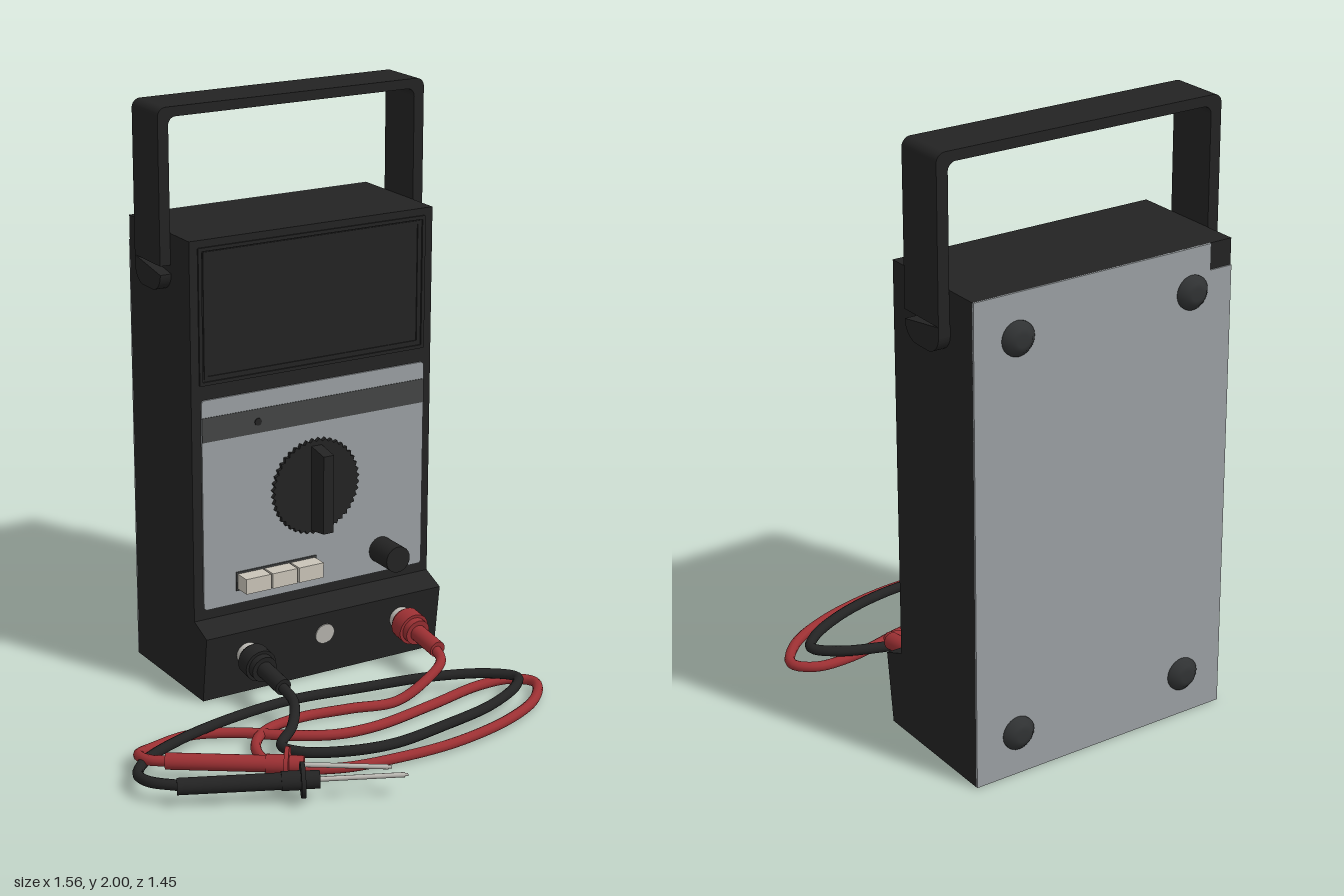
import * as THREE from 'three';

const mat = (name, color, side = THREE.FrontSide) => {
  const m = new THREE.MeshStandardMaterial({ color, side });
  m.name = name;
  return m;
};
const V = (x, y, z) => new THREE.Vector3(x, y, z);

export function createModel() {
  const root = new THREE.Group();
  root.name = 'multimeter';
  const black = mat('black plastic', 0x232323);
  const dark = mat('dark rubber', 0x303233);
  const grey = mat('grey panel', 0x9a9fa2);
  const stripeGrey = mat('stripe grey', 0x434545);
  const ivory = mat('ivory button', 0xc9c4b8);
  const red = mat('red rubber', 0x9c3033);
  const metal = mat('pale metal', 0xbcbab4);

  const add = (name, geo, m, parent = root) => {
    const mesh = new THREE.Mesh(geo, m);
    mesh.name = name;
    parent.add(mesh);
    return mesh;
  };
  const box = (name, x0, x1, y0, y1, z0, z1, m) => {
    const mesh = add(name, new THREE.BoxGeometry(x1 - x0, y1 - y0, z1 - z0), m);
    mesh.position.set((x0 + x1) / 2, (y0 + y1) / 2, (z0 + z1) / 2);
    return mesh;
  };
  const poly = (pts) => new THREE.Shape(pts.map(([x, y]) => new THREE.Vector2(x, y)));
  const extrude = (shape, depth) =>
    new THREE.ExtrudeGeometry(shape, { depth, bevelEnabled: false, curveSegments: 8 });
  const roundRect = (x0, x1, y0, y1, r) => {
    const s = new THREE.Shape();
    s.moveTo(x0 + r, y0);
    s.absarc(x1 - r, y0 + r, r, -Math.PI / 2, 0);
    s.absarc(x1 - r, y1 - r, r, 0, Math.PI / 2);
    s.absarc(x0 + r, y1 - r, r, Math.PI / 2, Math.PI);
    s.absarc(x0 + r, y0 + r, r, Math.PI, Math.PI * 1.5);
    return s;
  };
  // Turned part: profile [radius, distance] laid from a point along a direction
  const turned = (name, profile, from, dir, m, seg = 24) => {
    const geo = new THREE.LatheGeometry(profile.map(([r, d]) => new THREE.Vector2(r, d)), seg);
    const mesh = add(name, geo, m);
    mesh.position.copy(from);
    mesh.quaternion.setFromUnitVectors(V(0, 1, 0), dir.clone().normalize());
    return mesh;
  };
  // Stepped cylinder, flat shaded across each step by doubling its rim points
  const stepped = (...steps) => {
    const out = [[0, steps[0][1]]];
    for (const [r, a, b] of steps) out.push([r, a], [r, a], [r, b], [r, b]);
    out.push([0, steps[steps.length - 1][2]]);
    return out;
  };

  // Case with the projecting socket foot, extruded sideways
  const cx = 0.195, L = -0.27, R = 0.66, F = -0.275;
  const profile = poly([[0.694, 0], [0.695, 1.585], [0.275, 1.585], [0.275, 0.27], [0.19, 0.235], [0.22, 0]].reverse());
  add('case', extrude(profile, R - L).rotateY(Math.PI / 2).translate(L, 0, 0), black);

  // Back plate with one corner cut away, and four feet
  add('backPlate', extrude(poly([[L, 0], [R, 0], [R, 1.585], [L + 0.08, 1.585], [L + 0.08, 1.5], [L, 1.5]]), 0.008)
    .translate(0, 0, -0.7), grey);
  for (const x of [-0.12, 0.51]) for (const y of [0.145, 1.445])
    turned('backFoot', [[0.055, 0], [0.055, 0.008], [0.035, 0.027], [0.02, 0.03], [0, 0.03]],
      V(x, y, -0.7), V(0, 0, -1), dark);

  // Carrying handle: bent strap and rounded leg ends
  const strap = new THREE.Shape();
  strap.moveTo(-0.31, 1.48);
  strap.lineTo(-0.272, 1.48);
  strap.lineTo(-0.272, 1.94);
  strap.absarc(-0.245, 1.94, 0.027, Math.PI, Math.PI / 2, true);
  strap.absarc(0.635, 1.94, 0.027, Math.PI / 2, 0, true);
  strap.lineTo(0.662, 1.48);
  strap.lineTo(0.7, 1.48);
  strap.absarc(0.67, 1.97, 0.03, 0, Math.PI / 2);
  strap.absarc(-0.28, 1.97, 0.03, Math.PI / 2, Math.PI);
  add('handleStrap', extrude(strap, 0.18).translate(0, 0, -0.58), black);
  const end = new THREE.Shape();
  end.moveTo(0.4, 1.48);
  end.absarc(0.46, 1.45, 0.06, Math.PI, Math.PI * 1.5);
  end.absarc(0.52, 1.45, 0.06, Math.PI * 1.5, Math.PI * 2);
  end.lineTo(0.58, 1.48);
  for (const x of [-0.31, 0.655])
    add('handleEnd', extrude(end, 0.045).rotateY(Math.PI / 2).translate(x, 0, 0), black);

  // Display window with raised double frame
  const frame = (name, x0, x1, y0, y1, w, d) => {
    const s = roundRect(x0, x1, y0, y1, 0.004);
    s.holes.push(roundRect(x0 + w, x1 - w, y0 + w, y1 - w, 0.002));
    add(name, extrude(s, d).translate(0, 0, F), black);
  };
  frame('displayOuterFrame', -0.24, 0.63, 1.095, 1.56, 0.012, 0.006);
  frame('displayInnerFrame', -0.222, 0.612, 1.113, 1.545, 0.012, 0.004);

  // Control panel and stripe
  add('controlPanel', extrude(roundRect(-0.235, 0.63, 0.305, 1.045, 0.012), 0.006).translate(0, 0, F), grey);
  box('panelStripe', -0.235, 0.63, 0.9, 0.985, F, F + 0.008, stripeGrey);
  turned('indicator', stepped([0.013, 0, 0.004]), V(-0.025, 0.94, F + 0.008), V(0, 0, 1), black, 12);

  // Selector dial with a knurled rim and tapered grip
  const teeth = 44;
  const rim = poly(Array.from({ length: teeth * 2 }, (_, i) => {
    const a = (i * Math.PI) / teeth, r = i % 2 ? 0.171 : 0.16;
    return [Math.cos(a) * r, Math.sin(a) * r];
  }));
  add('selectorDial', extrude(rim, 0.02).translate(cx, 0.675, F), black);
  const grip = poly([[-0.155, 0], [0.155, 0], [0.137, 0.1], [-0.14, 0.1]]);
  add('selectorGrip', extrude(grip, 0.04).rotateX(Math.PI / 2).rotateZ(Math.PI / 2)
    .translate(cx - 0.02, 0.672, F), black).geometry.computeBoundingBox();
  // Centre the grip exactly on the dial
  const gripMesh = root.getObjectByName('selectorGrip');
  const gc = gripMesh.geometry.boundingBox.getCenter(V(0, 0, 0));
  gripMesh.position.set(cx - gc.x, 0.67 - gc.y, F + 0.05 - gc.z);

  // Push buttons and round knob
  box('buttonSurround', -0.113, 0.2, 0.353, 0.42, F, F + 0.012, stripeGrey);
  for (let i = 0; i < 3; i++) {
    const x = -0.108 + i * 0.103;
    box('pushButton', x, x + 0.096, 0.36, 0.414, F, -0.205, ivory);
  }
  turned('roundKnob', stepped([0.047, 0, 0.12]), V(0.463, 0.388, F), V(0, 0, 1), black);

  // Sockets on the sloping foot, plugs and their collars
  const out = V(0, -0.127, 0.992);
  turned('spareSocket', stepped([0.037, 0, 0.006]), V(cx, 0.155, -0.202), out, metal);
  const plug = (name, x, m) => {
    const from = V(x, 0.15, -0.205);
    turned('socketCollar', stepped([0.04, 0, 0.05]), from, out, metal);
    turned(name, stepped([0.046, 0.03, 0.045], [0.057, 0.045, 0.1], [0.046, 0.1, 0.125], [0.029, 0.125, 0.25]), from, out, m);
  };
  plug('blackPlug', -0.11, black);
  plug('redPlug', 0.5, red);

  // Leads: [x, z] path, height eased from the plug down to rest and up to the probe
  const lead = (name, pts, rest, m) => {
    const n = pts.length - 1;
    const start = [0.12, 0.1, 0.065], last = [0.065, 0.06, 0.05];
    const path = pts.map(([x, z], i) => V(x, i < 3 ? start[i] : n - i < 3 ? last[n - i] : rest(x, z), z));
    add(name, new THREE.TubeGeometry(new THREE.CatmullRomCurve3(path), 220, 0.0175, 10), m);
  };
  lead('blackLead', [[-0.11, 0.02], [-0.12, 0.13], [-0.18, 0.22], [-0.26, 0.29], [-0.23, 0.36], [-0.1, 0.43],
    [0.06, 0.46], [0.27, 0.445], [0.48, 0.395], [0.64, 0.31], [0.685, 0.25], [0.62, 0.18], [0.44, 0.105],
    [0.19, 0.04], [-0.06, 0.005], [-0.31, 0.03], [-0.52, 0.085], [-0.68, 0.16], [-0.755, 0.25],
    [-0.755, 0.33], [-0.69, 0.41]], (x) => (x > 0.2 ? 0.055 : 0.045), black);
  lead('redLead', [[0.5, 0.02], [0.48, 0.095], [0.395, 0.135], [0.27, 0.145], [0.105, 0.115], [-0.08, 0.09],
    [-0.225, 0.12], [-0.31, 0.21], [-0.33, 0.31], [-0.265, 0.415], [-0.145, 0.48], [0.065, 0.51],
    [0.27, 0.508], [0.52, 0.45], [0.685, 0.36], [0.76, 0.25], [0.705, 0.19], [0.58, 0.18], [0.355, 0.23],
    [0.105, 0.275], [-0.04, 0.26], [-0.165, 0.195], [-0.31, 0.085], [-0.455, 0.023], [-0.6, 0.045],
    [-0.69, 0.125], [-0.69, 0.19], [-0.635, 0.245]], () => 0.019, red);

  // Test probes: grip with finger guard and metal needle
  const probe = (name, a, b, m) => {
    const dir = b.clone().sub(a), len = dir.length(), g = len - 0.335;
    turned(name + 'Grip', stepped([0.027, 0, g - 0.06], [0.031, g - 0.06, g], [0.057, g, g + 0.014],
      [0.029, g + 0.014, g + 0.06]), a, dir, m);
    turned(name + 'Needle', stepped([0.008, g + 0.05, len - 0.01], [0.005, len - 0.01, len]), a, dir, metal, 10);
  };
  probe('blackProbe', V(-0.7, 0.062, 0.405), V(-0.055, 0.075, 0.72), black);
  probe('redProbe', V(-0.65, 0.065, 0.235), V(-0.07, 0.075, 0.65), red);

  return root;
}
